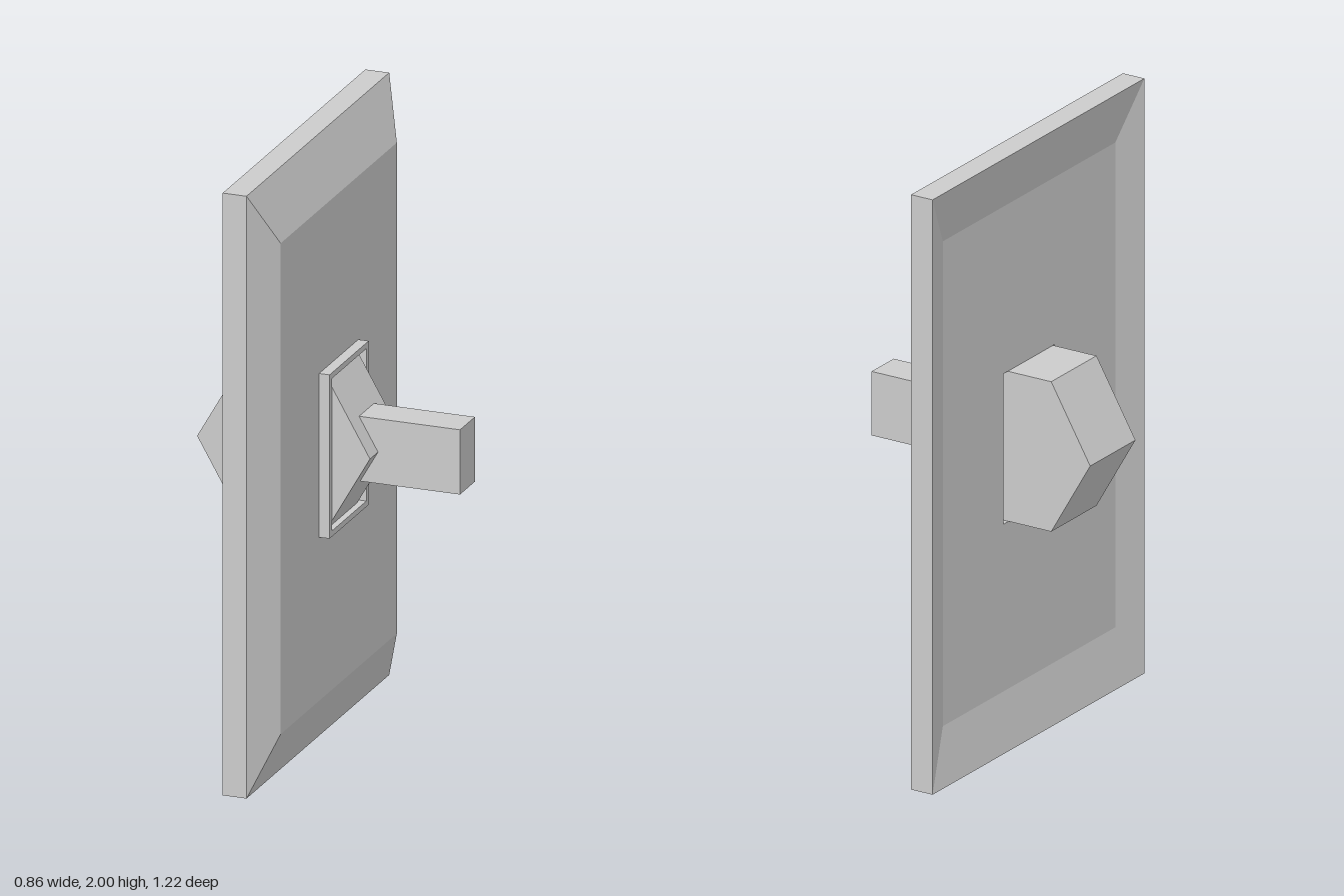
import * as THREE from 'three';

const material = new THREE.MeshStandardMaterial({ color: 0xcccccc, flatShading: true });
const CENTER_Y = 1;

// Rectangular ring: loops of [x, half height, half depth] joined in a closed circuit,
// running inward over the front, back through the hole, then outward over the rear.
function rectRing(loops) {
  const signs = [[1, 1], [1, -1], [-1, -1], [-1, 1]]; // y, z
  const corner = ([x, hy, hz], k) => [x, signs[k][0] * hy, signs[k][1] * hz];
  const positions = [];
  loops.forEach((loop, i) => {
    const next = loops[(i + 1) % loops.length];
    for (let k = 0; k < 4; k++) {
      const n = (k + 1) % 4;
      const a = corner(loop, k), b = corner(loop, n);
      const c = corner(next, n), d = corner(next, k);
      positions.push(...a, ...d, ...c, ...a, ...c, ...b);
    }
  });
  const geometry = new THREE.BufferGeometry();
  geometry.setAttribute('position', new THREE.Float32BufferAttribute(positions, 3));
  geometry.computeVertexNormals();
  return geometry;
}

export function createModel() {
  const group = new THREE.Group();
  const add = (name, geometry, x, y, z) => {
    const mesh = new THREE.Mesh(geometry, material);
    mesh.name = name;
    mesh.position.set(x, y, z);
    group.add(mesh);
  };

  const holeY = 0.253, holeZ = 0.147;

  // Wall plate: bevelled front, shallow dished back, rectangular opening
  add('wallPlate', rectRing([
    [-0.08, 1, 0.608],
    [-0.01, 0.815, 0.495],
    [-0.01, holeY, holeZ],
    [-0.125, holeY, holeZ],
    [-0.125, 0.815, 0.495],
    [-0.16, 1, 0.608],
  ]), 0, CENTER_Y, 0);

  // Raised collar around the opening
  add('openingFrame', rectRing([
    [-0.012, 0.272, 0.167],
    [0.025, 0.272, 0.167],
    [0.025, holeY, holeZ],
    [-0.012, holeY, holeZ],
  ]), 0, CENTER_Y, 0);

  // Hexagonal rocker, its axis along z
  const hexagon = new THREE.Shape([
    [0.15, 0], [0.005, 0.252], [-0.285, 0.252],
    [-0.43, 0], [-0.285, -0.252], [0.005, -0.252],
  ].map(([x, y]) => new THREE.Vector2(x, y)));
  add('rocker', new THREE.ExtrudeGeometry(hexagon, { depth: 0.26, bevelEnabled: false }),
    0, CENTER_Y, -0.12);

  // Lever set into the front of the rocker
  add('lever', new THREE.BoxGeometry(0.365, 0.215, 0.127), 0.2425, 1.003, 0.008);

  return group;
}
